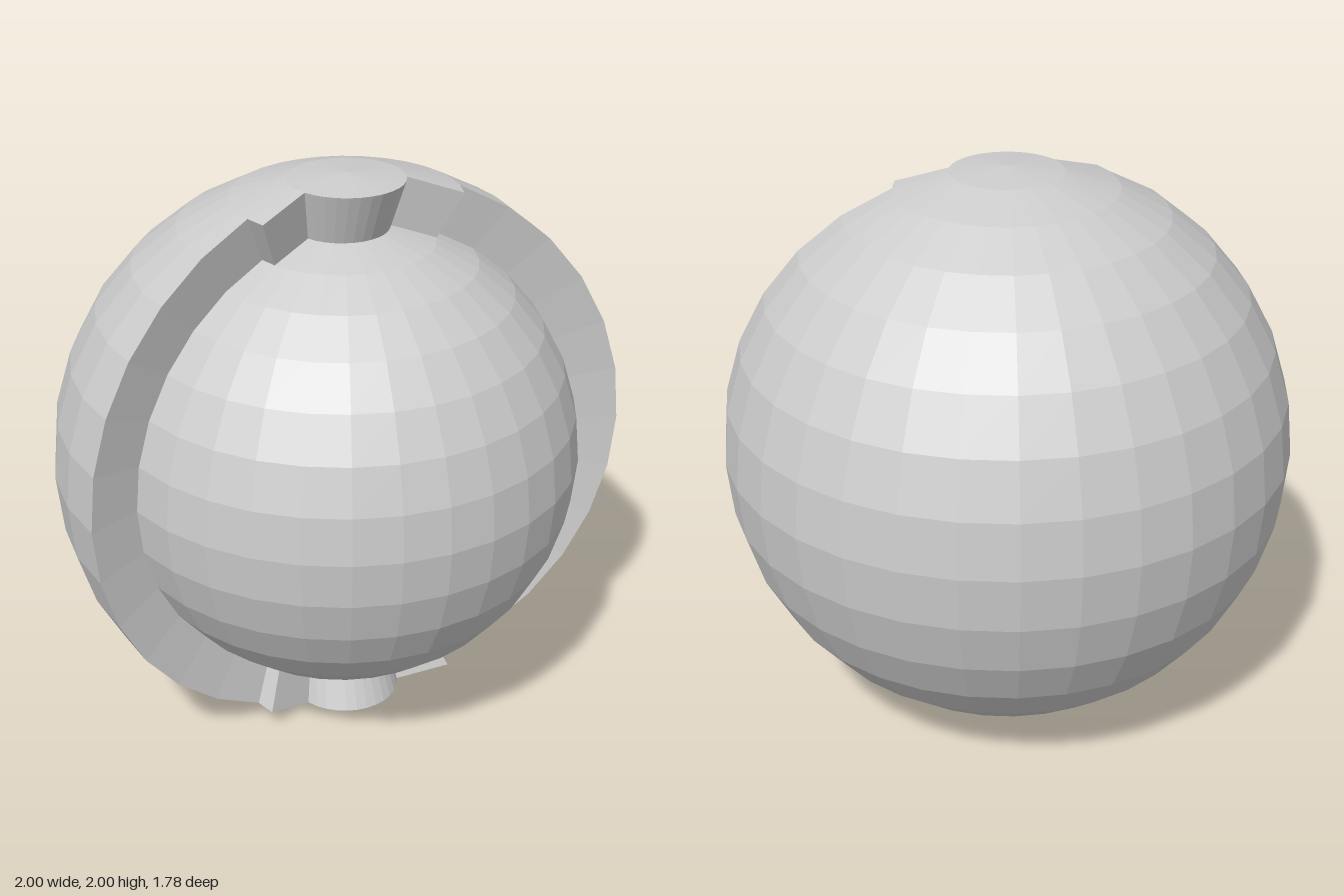
import * as THREE from 'three';

const COLS = 32, ROWS = 16;

// Grid point on a faceted globe; columns run from +x round towards +z
function gridPoint(radius, centreZ, row, col) {
  const p = (row / ROWS) * Math.PI, a = (col / COLS) * Math.PI * 2;
  const ring = row === 0 || row === ROWS ? 0 : Math.sin(p) * radius;
  return [ring * Math.cos(a), 1 + radius * Math.cos(p), centreZ + ring * Math.sin(a)];
}
const outer = ([row, col]) => gridPoint(1, 0.106, row, col);
const inner = ([row, col]) => gridPoint(0.82, 0.07, row, col);

// Cells of the front opening: narrower next to the two closed polar caps
function isOpen(row, col) {
  const c = (col + COLS) % COLS;
  if (row < 1 || row > ROWS - 2) return false;
  const edge = row === 1 || row === ROWS - 2 ? 2 : 1;
  return c >= edge && c < COLS / 2 - edge;
}

function quadMesh(name, quads, material) {
  const pos = [];
  for (const [a, b, c, d] of quads) pos.push(...a, ...b, ...c, ...a, ...c, ...d);
  const geometry = new THREE.BufferGeometry();
  geometry.setAttribute('position', new THREE.Float32BufferAttribute(pos, 3));
  geometry.computeVertexNormals(); // unshared corners give flat facets
  const mesh = new THREE.Mesh(geometry, material);
  mesh.name = name;
  return mesh;
}

export function createModel() {
  const grey = new THREE.MeshStandardMaterial({ color: 0xcccccc });
  grey.name = 'light grey';
  const shell = [], core = [], rim = [];

  for (let r = 0; r < ROWS; r++) {
    for (let c = 0; c < COLS; c++) {
      const corners = [[r, c], [r, c + 1], [r + 1, c + 1], [r + 1, c]];
      if (!isOpen(r, c)) {
        shell.push(corners.map(outer));
        continue;
      }
      core.push(corners.map(inner));
      // Walls wherever the opening meets the shell
      const neighbours = [[r - 1, c], [r, c + 1], [r + 1, c], [r, c - 1]];
      neighbours.forEach(([nr, nc], i) => {
        if (isOpen(nr, nc)) return;
        const p = corners[i], q = corners[(i + 1) % 4];
        rim.push([outer(p), outer(q), inner(q), inner(p)]);
      });
    }
  }

  const group = new THREE.Group();
  group.name = 'openGlobe';
  group.add(
    quadMesh('outerShell', shell, grey),
    quadMesh('openingRim', rim, grey),
    quadMesh('innerGlobe', core, grey)
  );
  return group;
}
